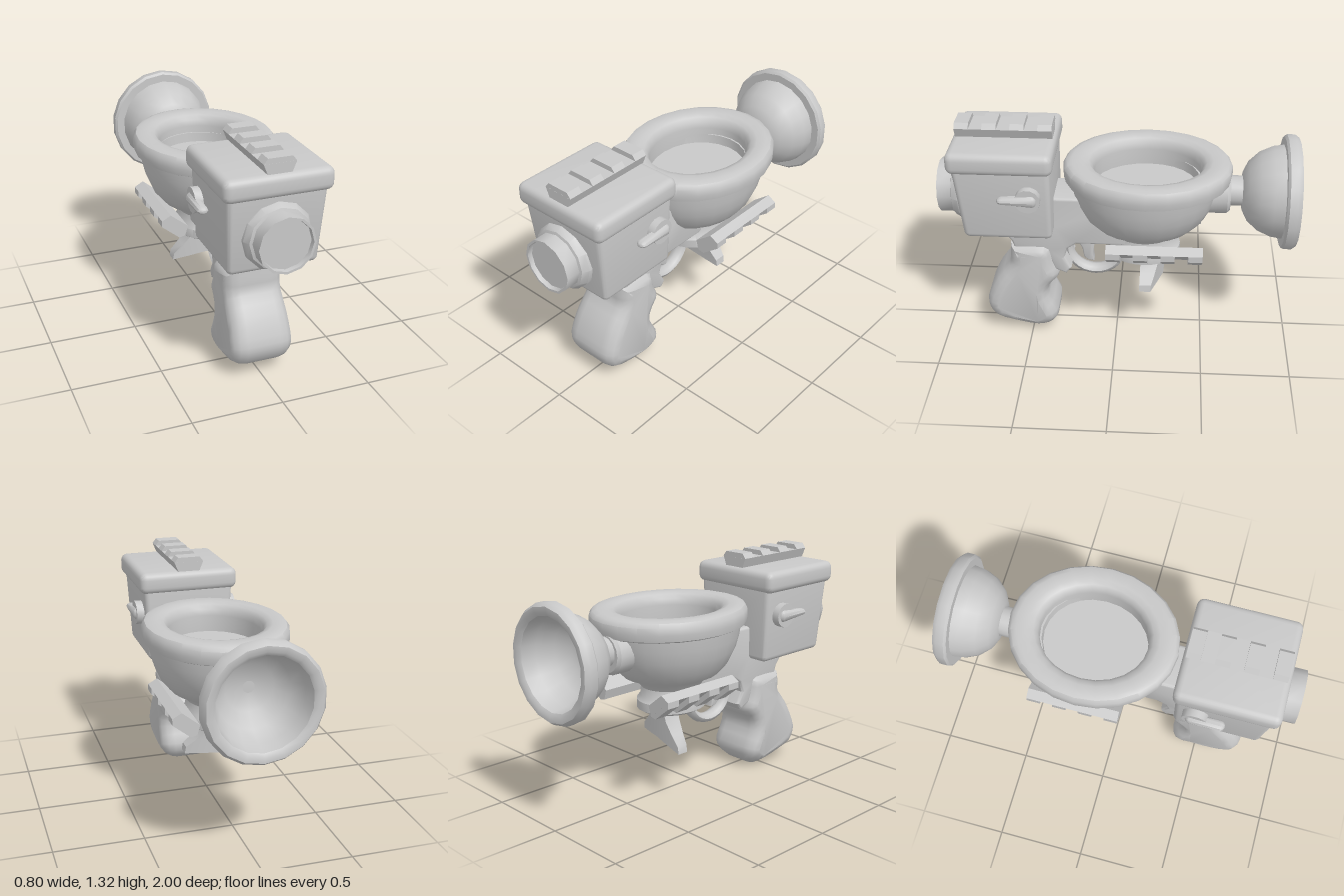
import * as THREE from 'three';
import { toCreasedNormals } from 'three/addons/utils/BufferGeometryUtils.js';
import { RoundedBoxGeometry } from 'three/addons/geometries/RoundedBoxGeometry.js';

const grey = new THREE.MeshStandardMaterial({ color: 0xc8c8c8 });
grey.name = 'porcelain grey';

const points = (list) => list.map(([a, b]) => new THREE.Vector2(a, b));

function part(name, geometry, parent, crease = 0.65) {
  const mesh = new THREE.Mesh(toCreasedNormals(geometry, crease), grey);
  mesh.name = name;
  parent.add(mesh);
  return mesh;
}

// Turned shape around the y axis
const lathe = (list, sides) => new THREE.LatheGeometry(points(list), sides);

// Side profile given as [z, y], extruded across x with a bevel inside the outline
function sideProfile(list, width, bevel, smooth = false) {
  const shape = new THREE.Shape();
  if (smooth) shape.setFromPoints(new THREE.SplineCurve(points([...list, list[0]])).getPoints(40).slice(0, -1));
  else shape.setFromPoints(points(list));
  const depth = width - 2 * bevel;
  return new THREE.ExtrudeGeometry(shape, {
    depth, bevelEnabled: true, bevelThickness: bevel, bevelSize: bevel * 0.8,
    bevelOffset: -bevel * 0.8, bevelSegments: 3,
  }).translate(0, 0, -depth / 2).rotateY(-Math.PI / 2);
}

// Accessory rail with four teeth, standing on y = 0
function makeRail(name) {
  const rail = new THREE.Group();
  rail.name = name;
  const bar = (label, low, high, y0, y1, length, z) => {
    const shape = new THREE.Shape(points([[-low, y0], [low, y0], [high, y1], [-high, y1]]));
    const g = new THREE.ExtrudeGeometry(shape, { depth: length, bevelEnabled: false });
    part(label, g.translate(0, 0, z - length / 2), rail, 0.3);
  };
  bar('railBase', 0.065, 0.087, 0, 0.055, 0.535, 0);
  for (let i = 0; i < 4; i++) bar('railTooth', 0.087, 0.065, 0.055, 0.083, 0.078, -0.228 + i * 0.152);
  return rail;
}

export function createModel() {
  const model = new THREE.Group();
  model.name = 'toiletBlaster';

  // Tank, narrower toward the bottom
  const tank = new RoundedBoxGeometry(0.54, 0.45, 0.535, 3, 0.03);
  const p = tank.attributes.position;
  for (let i = 0; i < p.count; i++) {
    const t = 0.5 - p.getY(i) / 0.45;
    p.setX(i, p.getX(i) * (1 - 0.085 * t));
    if (p.getZ(i) > 0) p.setZ(i, p.getZ(i) - 0.045 * t);
  }
  part('tank', tank, model).position.set(0, 0.928, 0.618);
  part('tankLid', new RoundedBoxGeometry(0.59, 0.125, 0.575, 3, 0.04), model).position.set(0, 1.178, 0.621);

  // Lens housing on the tank front
  part('lensHousing', lathe([[0, 0.8], [0.187, 0.8], [0.187, 0.88], [0.168, 0.915], [0.153, 0.92],
    [0.153, 1], [0.14, 1], [0.137, 0.975], [0, 0.975]], 12).rotateX(Math.PI / 2), model).position.y = 0.905;

  // Flush levers on both sides
  for (const s of [-1, 1]) {
    const lever = new THREE.Group();
    lever.name = s > 0 ? 'leftFlushLever' : 'rightFlushLever';
    part('leverHub', new THREE.CylinderGeometry(0.07, 0.07, 0.06, 14).rotateZ(Math.PI / 2), lever);
    const arm = new THREE.CapsuleGeometry(0.03, 0.16, 4, 10).rotateX(Math.PI / 2);
    const a = arm.attributes.position;
    // The arm tapers toward its free end
    for (let i = 0; i < a.count; i++) a.setY(i, a.getY(i) * (0.95 - 3 * a.getZ(i)));
    part('leverArm', arm, lever).position.set(s * 0.02, 0, 0.058);
    lever.position.set(s * 0.276, 0.978, 0.47);
    model.add(lever);
  }

  // Bowl with foot, oval seat and water
  const bowl = lathe([[0, 0.5], [0.16, 0.5], [0.183, 0.515], [0.183, 0.565], [0.165, 0.59], [0.16, 0.64], [0.19, 0.68],
    [0.255, 0.71], [0.305, 0.77], [0.34, 0.85], [0.358, 0.92], [0.368, 0.99], [0.268, 0.99], [0.262, 0.9],
    [0, 0.9]], 24);
  part('bowl', bowl.scale(1, 1, 1.135), model).position.z = -0.155;
  const seat = lathe([[0.257, 0.93], [0.3, 0.985], [0.375, 0.985], [0.395, 0.995], [0.402, 1.03], [0.4, 1.07],
    [0.385, 1.092], [0.36, 1.1], [0.31, 1.1], [0.28, 1.09], [0.262, 1.065], [0.257, 1.03], [0.257, 0.93]], 24);
  part('seat', seat.scale(1, 1, 1.175), model).position.z = -0.168;
  part('water', new THREE.CylinderGeometry(0.262, 0.262, 0.02, 24).scale(1, 1, 1.175), model)
    .position.set(0, 0.925, -0.168);

  // Plunger muzzle, hollow toward the back
  part('muzzleCollar', lathe([[0, 0.48], [0.12, 0.48], [0.12, 0.615], [0.105, 0.632], [0, 0.632]], 16)
    .rotateX(-Math.PI / 2), model).position.y = 0.905;
  part('muzzleNeck', new THREE.CylinderGeometry(0.085, 0.085, 0.25, 14).rotateX(Math.PI / 2), model)
    .position.set(0, 0.917, -0.61);
  part('plungerCup', lathe([[0, 0.695], [0.11, 0.7], [0.17, 0.73], [0.225, 0.79], [0.256, 0.86], [0.265, 0.92],
    [0.31, 0.92], [0.323, 0.932], [0.323, 0.975], [0.305, 1], [0.275, 1], [0.255, 0.985], [0.243, 0.9], [0.2, 0.81],
    [0.13, 0.75], [0, 0.73]], 18).rotateX(-Math.PI / 2), model, 0.75).position.y = 0.917;

  // Frame joining tank, bowl and grip
  part('frame', sideProfile([[0.69, 0.73], [0.66, 0.69], [0.6, 0.61], [0.58, 0.55], [0.4, 0.54], [0.36, 0.43],
    [0.29, 0.4], [0.26, 0.44], [0.3, 0.51], [0.28, 0.57], [0.23, 0.605], [-0.1, 0.605], [-0.1, 0.9], [0.36, 0.9],
    [0.37, 0.73]], 0.26, 0.02), model);

  // Grip with rounded edges, narrowed at the butt and at the collar
  const grip = sideProfile([[0.61, 0.585], [0.615, 0.52], [0.622, 0.46], [0.7, 0.355], [0.757, 0.23], [0.76, 0.16],
    [0.714, 0.085], [0.6, 0.04], [0.48, 0.003], [0.4, 0.025], [0.343, 0.115], [0.395, 0.235], [0.392, 0.31],
    [0.33, 0.39], [0.36, 0.48], [0.385, 0.58], [0.5, 0.592]], 0.35, 0.08, true);
  const g = grip.attributes.position;
  for (let i = 0; i < g.count; i++) {
    const y = g.getY(i);
    const butt = Math.max(0, 0.13 - y) / 0.13;
    g.setX(i, g.getX(i) * (1 - 0.35 * butt * butt - 0.06 * THREE.MathUtils.smoothstep(y, 0.2, 0.45)));
  }
  part('grip', grip, model, 0.8);

  // Trigger and its guard
  part('triggerGuard', new THREE.TorusGeometry(0.158, 0.028, 8, 28).scale(1, 1, 1.5).rotateY(Math.PI / 2), model, 1)
    .position.set(0, 0.523, 0.128);
  part('trigger', sideProfile([[0.25, 0.62], [0.24, 0.58], [0.205, 0.52], [0.195, 0.46], [0.17, 0.437], [0.135, 0.435],
    [0.142, 0.49], [0.132, 0.55], [0.14, 0.62]], 0.07, 0.012), model);

  // Rails on the lid and slanted under the bowl
  const topRail = makeRail('topRail');
  topRail.position.set(0, 1.24, 0.618);
  model.add(topRail);
  for (const s of [-1, 1]) {
    const rail = makeRail(s > 0 ? 'leftRail' : 'rightRail');
    rail.position.set(s * 0.23, 0.666, -0.218);
    rail.rotation.z = -s * 2.47;
    model.add(rail);
  }

  // Flared fishtail below the foot, thinner and slightly twisted toward its tips
  const tailShape = new THREE.Shape(points([[0.06, 0.52], [-0.06, 0.52], [-0.08, 0.46], [-0.13, 0.4], [-0.18, 0.35],
    [-0.187, 0.31], [-0.1, 0.325], [0, 0.345], [0.1, 0.325], [0.187, 0.31], [0.18, 0.35], [0.13, 0.4], [0.08, 0.46]]));
  const tail = new THREE.ExtrudeGeometry(tailShape, { depth: 1, bevelEnabled: false }).translate(0, 0, -0.5);
  const q = tail.attributes.position;
  for (let i = 0; i < q.count; i++) {
    const x = q.getX(i);
    q.setY(i, q.getY(i) + 0.12 * x);
    q.setZ(i, q.getZ(i) * (0.13 - 0.35 * Math.abs(x)) + 0.2 * x - 0.205);
  }
  part('fishtail', tail, model);
  return model;
}
